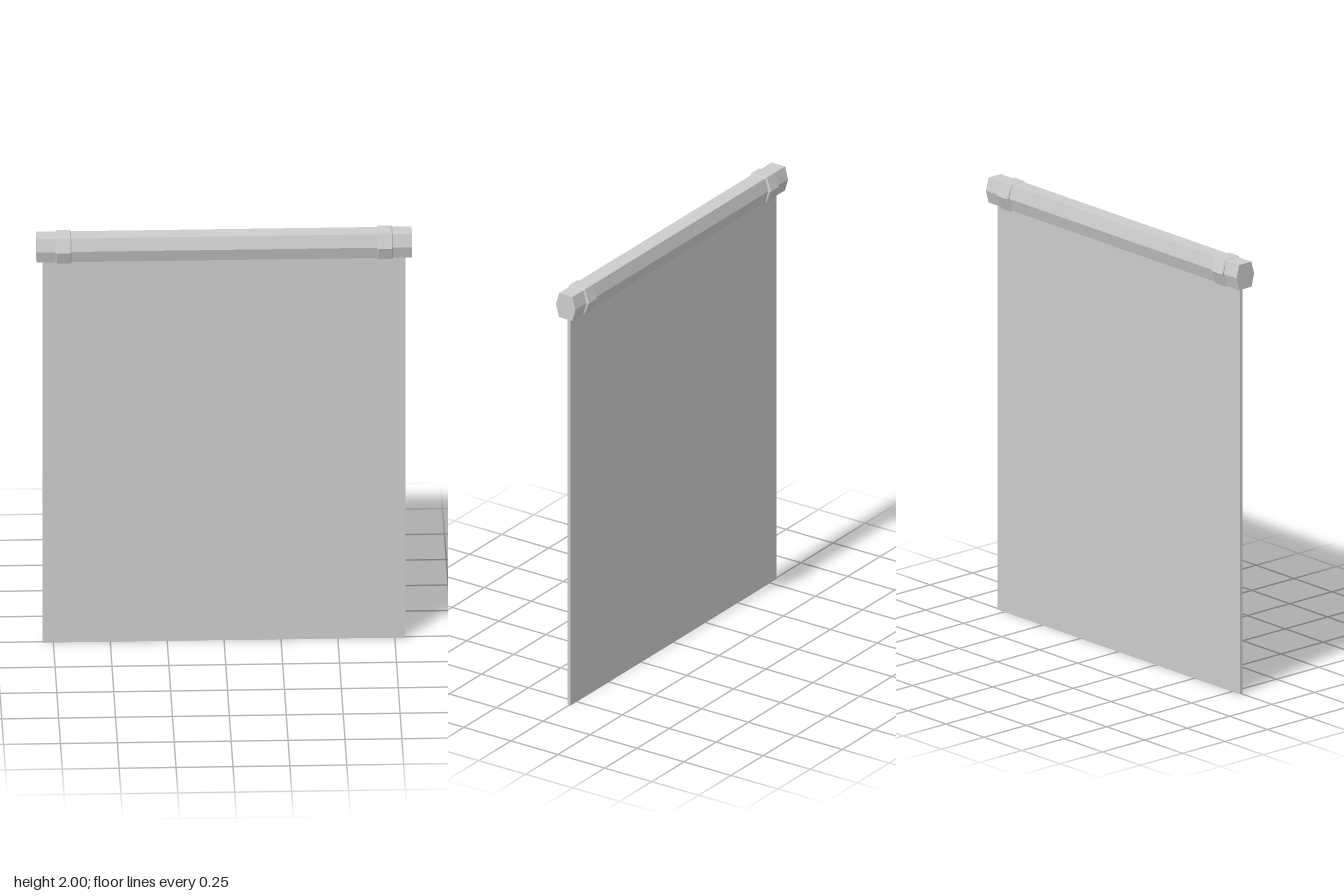
import * as THREE from 'three';

const AXIS_Y = 1.938;

// Stretched hexagonal prism lying along x, with optional chamfered ends
function hexBar(length, halfHeight, halfDepth, halfFlat, chamfer = 0) {
  const shape = new THREE.Shape([
    [halfDepth, 0], [halfFlat, halfHeight], [-halfFlat, halfHeight],
    [-halfDepth, 0], [-halfFlat, -halfHeight], [halfFlat, -halfHeight],
  ].map(([x, y]) => new THREE.Vector2(x, y)));
  const geometry = new THREE.ExtrudeGeometry(shape, {
    depth: length - 2 * chamfer,
    bevelEnabled: chamfer > 0,
    bevelThickness: chamfer,
    bevelSize: chamfer,
    bevelOffset: -chamfer,
    bevelSegments: 1,
  });
  geometry.translate(0, 0, chamfer - length / 2);
  return geometry.rotateY(Math.PI / 2);
}

export function createModel() {
  const group = new THREE.Group();
  const grey = new THREE.MeshStandardMaterial({ color: 0xcccccc });
  grey.name = 'light grey';

  const add = (name, geometry, x, y) => {
    const mesh = new THREE.Mesh(geometry, grey);
    mesh.name = name;
    mesh.position.set(x, y, 0);
    group.add(mesh);
  };

  // Hanging sheet, its top edge tucked into the rod
  add('sheet', new THREE.BoxGeometry(1.595, 1.91, 0.016), 0, 0.955);

  // Hexagonal rod
  add('rod', hexBar(1.65, 0.058, 0.052, 0.036), 0, AXIS_Y);

  // Chamfered collars near both ends
  for (const side of [-1, 1]) {
    add(side > 0 ? 'leftCollar' : 'rightCollar',
      hexBar(0.07, 0.062, 0.064, 0.041, 0.005), side * 0.706, AXIS_Y);
  }
  return group;
}
